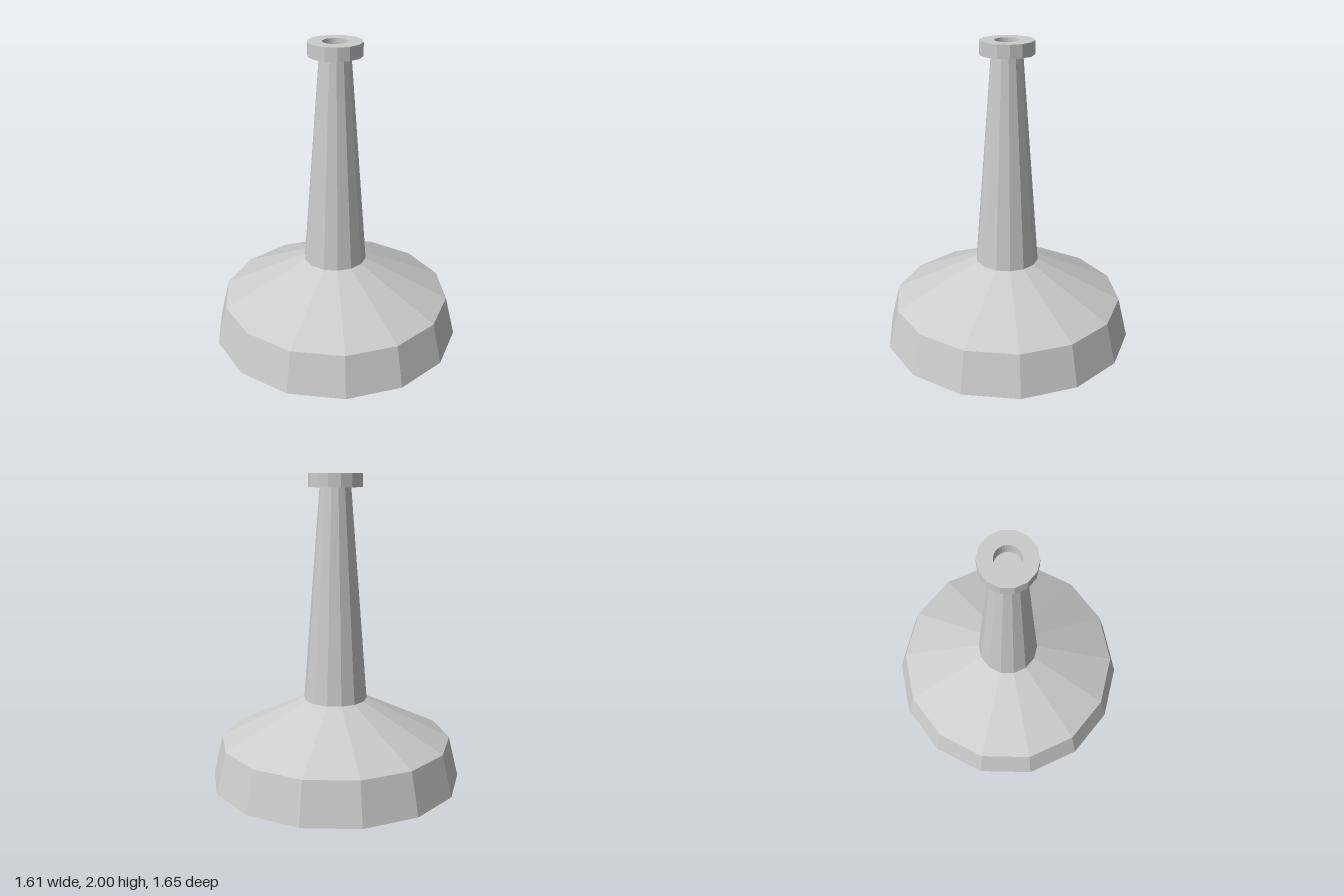
import * as THREE from 'three';

const SIDES = 14;

export function createModel() {
  const group = new THREE.Group();
  const grey = new THREE.MeshStandardMaterial({ color: 0xcccccc });
  grey.name = 'grey';

  // Faceted solid of revolution, profile listed from bottom to top as [radius, y]
  function turned(name, profile, sides = SIDES) {
    const points = profile.map(([r, y]) => new THREE.Vector2(r, y));
    const geometry = new THREE.LatheGeometry(points, sides).toNonIndexed();
    geometry.computeVertexNormals();
    const mesh = new THREE.Mesh(geometry, grey);
    mesh.name = name;
    group.add(mesh);
  }

  // Wide foot with a sloping shoulder
  turned('base', [[0, 0], [0.825, 0], [0.76, 0.27], [0.207, 0.54]]);

  // Tapering neck, closed at the top to form the floor of the opening
  turned('neck', [[0.207, 0.54], [0.1, 1.915], [0, 1.915]]);

  // Rim collar: underside and outer wall
  turned('rim', [[0.1, 1.915], [0.172, 1.915], [0.172, 2]]);

  // Flat rim top with a round opening
  const outline = new THREE.Shape();
  for (let i = 0; i < SIDES; i++) {
    const a = (i / SIDES) * Math.PI * 2;
    outline[i ? 'lineTo' : 'moveTo'](0.172 * Math.sin(a), 0.172 * Math.cos(a));
  }
  outline.closePath();
  outline.holes.push(new THREE.Path().absarc(0, 0, 0.079, 0, Math.PI * 2, true));
  const rimTop = new THREE.Mesh(new THREE.ShapeGeometry(outline, 16), grey);
  rimTop.name = 'rimTop';
  rimTop.rotation.x = -Math.PI / 2;
  rimTop.position.y = 2;
  group.add(rimTop);

  // Inner wall of the opening, facing inwards
  turned('opening', [[0.079, 2], [0.079, 1.915]], 32);

  return group;
}
